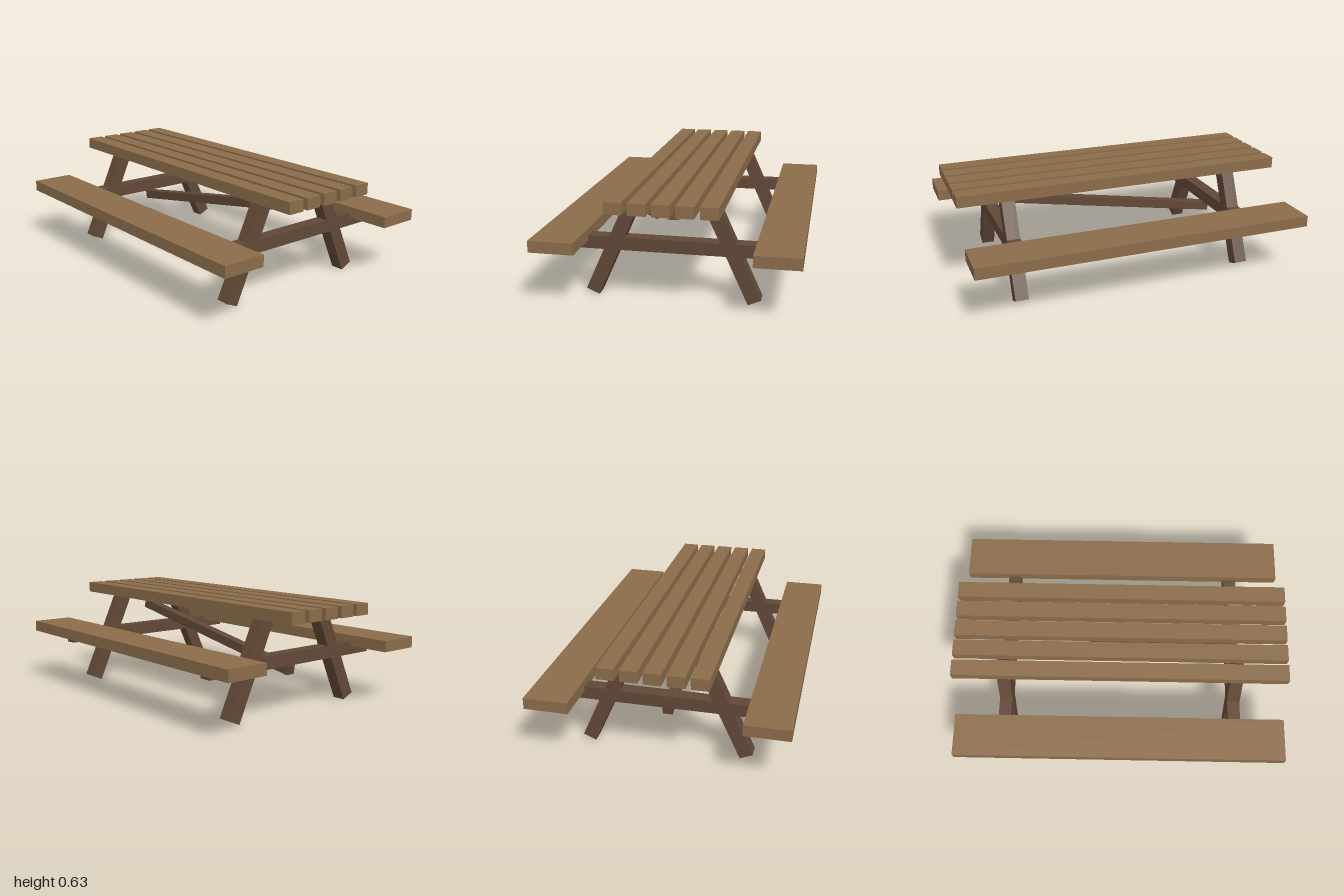
import * as THREE from 'three';

export function createModel() {
  const model = new THREE.Group();
  model.name = 'picnicTable';

  const plankWood = new THREE.MeshStandardMaterial({ color: 0x8b6c4a });
  plankWood.name = 'plank wood';
  const frameWood = new THREE.MeshStandardMaterial({ color: 0x614837 });
  frameWood.name = 'frame wood';

  const addBeam = (name, parent, size, position, material) => {
    const mesh = new THREE.Mesh(new THREE.BoxGeometry(...size), material);
    mesh.name = name;
    mesh.position.set(...position);
    parent.add(mesh);
    return mesh;
  };

  // Table top: five spaced slats
  const tableTop = new THREE.Group();
  tableTop.name = 'tableTop';
  for (let i = -2; i <= 2; i++) {
    addBeam('topSlat', tableTop, [2, 0.066, 0.097], [0, 0.596, i * 0.126], plankWood);
  }
  model.add(tableTop);

  // Bench seats, front and back
  for (const side of [1, -1]) {
    addBeam(side > 0 ? 'frontSeat' : 'backSeat', model, [2, 0.066, 0.252], [0, 0.359, side * 0.6], plankWood);
  }

  // Two A-frames: a pair of splayed legs joined by a crossbeam
  for (const side of [1, -1]) {
    const frame = new THREE.Group();
    frame.name = side > 0 ? 'leftFrame' : 'rightFrame';
    frame.position.x = side * 0.703;
    addBeam('crossbeam', frame, [0.077, 0.075, 1.258], [0, 0.314, 0], frameWood);
    for (const end of [1, -1]) {
      const leg = addBeam(end > 0 ? 'frontLeg' : 'backLeg', frame, [0.078, 0.614, 0.08], [0, 0.2985, end * 0.334], frameWood);
      leg.rotation.x = -end * 0.424;
    }
    model.add(frame);
  }

  // Diagonal brace between the frames
  const brace = addBeam('diagonalBrace', model, [1.43, 0.054, 0.057], [0, 0.3615, 0], frameWood);
  brace.rotation.z = 0.1745;

  return model;
}
